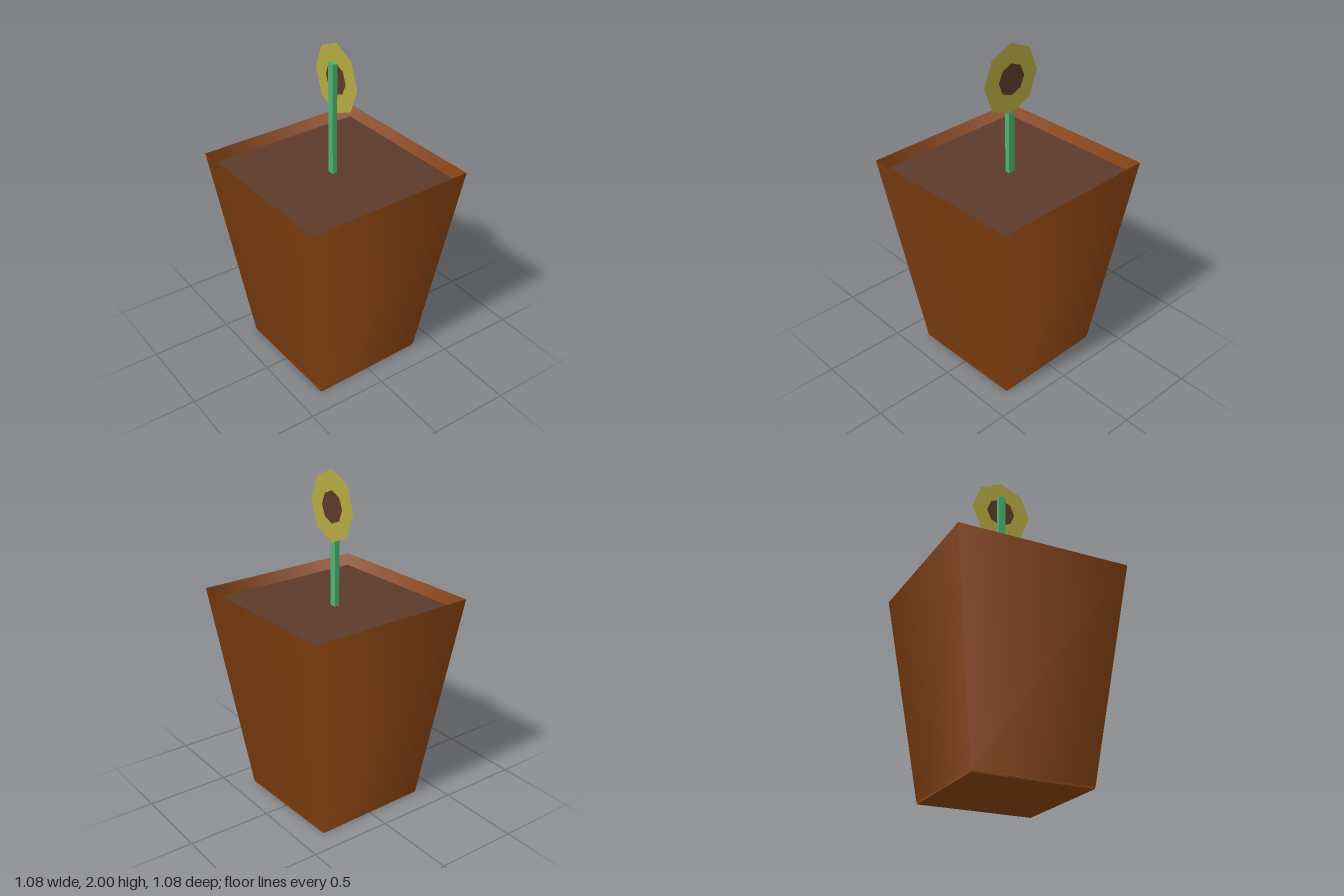
import * as THREE from 'three';

const material = (name, color, side = THREE.FrontSide) => {
  const m = new THREE.MeshStandardMaterial({ color, side });
  m.name = name;
  return m;
};

export function createModel() {
  const terracotta = material('terracotta', 0x8b4513, THREE.DoubleSide);
  const soilBrown = material('soil brown', 0x5c3a2a, THREE.DoubleSide);
  const stemGreen = material('stem green', 0x4cb56f);
  const petalYellow = material('petal yellow', 0xb5aa42, THREE.DoubleSide);

  const model = new THREE.Group();
  model.name = 'pottedFlower';
  const add = (parent, name, geometry, mat, x = 0, y = 0, z = 0) => {
    const mesh = new THREE.Mesh(geometry, mat);
    mesh.name = name;
    mesh.position.set(x, y, z);
    parent.add(mesh);
    return mesh;
  };

  // Square planter, turned very slightly, with softly shaded walls
  const pot = new THREE.Group();
  pot.name = 'pot';
  pot.rotation.y = 0.0237;
  model.add(pot);
  const squareTube = (top, bottom, height) =>
    new THREE.CylinderGeometry(top * Math.SQRT2, bottom * Math.SQRT2, height, 4, 1, true, Math.PI / 4);
  const rimY = 1.28, soilY = 1.215, baseY = 0.01;
  add(pot, 'potWalls', squareTube(0.527, 0.357, rimY - baseY), terracotta, 0, (rimY + baseY) / 2);
  add(pot, 'innerLip', squareTube(0.526, 0.502, rimY - soilY), terracotta, 0, (rimY + soilY) / 2);
  add(pot, 'potBase', new THREE.BoxGeometry(0.71, baseY, 0.71), terracotta, 0, baseY / 2);
  add(pot, 'soil', new THREE.PlaneGeometry(1.004, 1.004).rotateX(-Math.PI / 2), soilBrown, 0, soilY);

  // Stem
  const stemTop = 1.885;
  add(model, 'stem', new THREE.BoxGeometry(0.03, stemTop - soilY, 0.042), stemGreen,
    0.003, (stemTop + soilY) / 2, -0.013);

  // Flower head: flat octagons facing sideways, the centre showing on both sides
  const flower = new THREE.Group();
  flower.name = 'flowerHead';
  flower.position.set(0.0195, 1.793, -0.006);
  model.add(flower);
  const octagon = (ry, rz) =>
    new THREE.CircleGeometry(1, 8).scale(rz, ry, 1).rotateY(Math.PI / 2);
  add(flower, 'petals', octagon(0.207, 0.192), petalYellow);
  for (const side of [1, -1]) {
    add(flower, side > 0 ? 'centreOuter' : 'centreInner', octagon(0.093, 0.092), soilBrown, side * 0.001, -0.003, -0.003);
  }

  return model;
}
